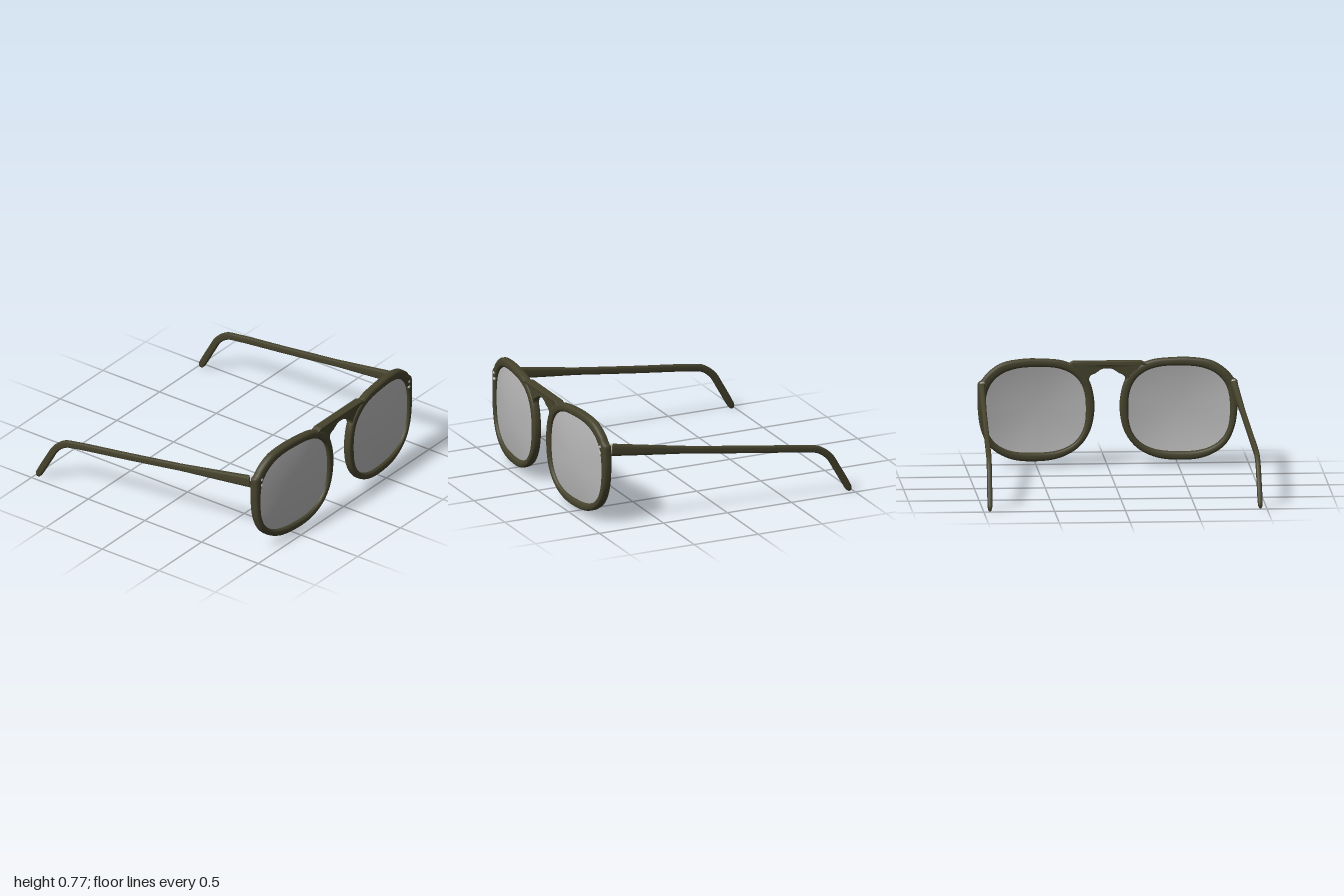
import * as THREE from 'three';

const frameMat = new THREE.MeshStandardMaterial({ color: 0x45422c });
frameMat.name = 'olive frame';
const lensMat = new THREE.MeshStandardMaterial({ color: 0xb6b6b6, side: THREE.DoubleSide });
lensMat.name = 'grey lens';
const metalMat = new THREE.MeshStandardMaterial({ color: 0xd8d8d8 });
metalMat.name = 'silver metal';

// face curve: the front wraps back towards the temples
const faceZ = (x) => 0.957 - 0.08 * x * x;

// point on a unit superellipse, n > 2 gives a rounded square
function squircle(a, n) {
  const c = Math.cos(a), s = Math.sin(a);
  return [Math.sign(c) * Math.abs(c) ** (2 / n), Math.sign(s) * Math.abs(s) ** (2 / n)];
}

// skin between closed rings; side = -1 mirrors in x
function loft(rings, side, closed) {
  const n = rings[0].length, m = rings.length, pos = [], idx = [];
  rings.forEach((r) => r.forEach((p) => pos.push(p[0] * side, p[1], p[2])));
  for (let i = 0; i < (closed ? m : m - 1); i++) {
    for (let j = 0; j < n; j++) {
      const i2 = (i + 1) % m, j2 = (j + 1) % n;
      const a = i * n + j, b = i2 * n + j, c = i2 * n + j2, d = i * n + j2;
      if (side > 0) idx.push(a, b, c, a, c, d);
      else idx.push(a, c, b, a, d, c);
    }
  }
  const g = new THREE.BufferGeometry();
  g.setAttribute('position', new THREE.Float32BufferAttribute(pos, 3));
  g.setIndex(idx);
  g.computeVertexNormals();
  return g;
}

// lens opening, as a point in the given direction from its centre
const CX = 0.507, CY = 0.414, RX = 0.357, RY = 0.307, N = 2.7;
function opening(a) {
  const c = Math.cos(a), s = Math.sin(a);
  const r = (Math.abs(c / RX) ** N + Math.abs(s / RY) ** N) ** (-1 / N);
  return [CX + r * c, CY + r * s];
}

function rimGeometry(side) {
  const outline = [
    [0.59, 0.78], [0.46, 0.778], [0.32, 0.763], [0.23, 0.727], [0.16, 0.67], [0.12, 0.605],
    [0.092, 0.49], [0.09, 0.39], [0.12, 0.257], [0.2, 0.142], [0.33, 0.07], [0.5, 0.047],
    [0.69, 0.07], [0.83, 0.157], [0.895, 0.283], [0.918, 0.44], [0.918, 0.56], [0.915, 0.618],
    [0.89, 0.637], [0.853, 0.683], [0.75, 0.753],
  ].map(([x, y]) => new THREE.Vector3(x, y, 0));
  const curve = new THREE.CatmullRomCurve3(outline, true);
  const rings = [];
  for (let i = 0; i < 120; i++) {
    const o = curve.getPoint(i / 120);
    const [ix, iy] = opening(Math.atan2(o.y - CY, o.x - CX));
    const ring = [];
    for (let j = 0; j < 20; j++) {
      const [u, v] = squircle((j / 20) * Math.PI * 2, 2.8);
      const t = (u + 1) / 2;
      const x = ix + (o.x - ix) * t, y = iy + (o.y - iy) * t;
      ring.push([x, y, faceZ(x) + 0.032 * v]);
    }
    rings.push(ring);
  }
  return loft(rings, side, true);
}

function lensGeometry(side) {
  const rings = [];
  for (let i = 0; i <= 10; i++) {
    const r = (i / 10) * 1.02, ring = [];
    for (let j = 0; j < 72; j++) {
      const [ox, oy] = opening((j / 72) * Math.PI * 2);
      const x = CX + (ox - CX) * r, y = CY + (oy - CY) * r;
      ring.push([x, y, faceZ(x) + 0.01 + 0.026 * (1 - r * r)]);
    }
    rings.push(ring);
  }
  return loft(rings, side, false);
}

function templeGeometry(side) {
  const path = new THREE.CatmullRomCurve3([
    [0.858, 0.581], [0.58, 0.541], [0.3, 0.502], [-0.2, 0.432], [-0.64, 0.373],
    [-0.74, 0.352], [-0.82, 0.292], [-0.88, 0.195], [-0.982, 0.014],
  ].map(([z, y]) => new THREE.Vector3(0.892 + (0.858 - z) * 0.034, y, z)));
  const rings = [], M = 60;
  const addRing = (t, scale) => {
    const p = path.getPoint(t), d = path.getTangent(t);
    const len = Math.hypot(d.y, d.z), ny = -d.z / len, nz = d.y / len;
    const k = Math.min(1, (0.858 - p.z) / 0.6);
    const w = (0.024 - 0.006 * k) * scale, h = (0.044 - 0.018 * k) * scale;
    const ring = [];
    for (let j = 0; j < 20; j++) {
      const [u, v] = squircle((j / 20) * Math.PI * 2, 3.2);
      ring.push([p.x + u * w, p.y + v * h * ny, p.z + v * h * nz]);
    }
    rings.push(ring);
  };
  // flat end at the hinge, rounded tip at the ear
  addRing(0, 0);
  addRing(0, 0.95);
  addRing(0.002, 1);
  for (let i = 1; i < M - 1; i++) addRing((i / M) * 0.985, 1);
  [[0.98, 0.92], [0.99, 0.75], [0.997, 0.45], [1, 0]].forEach(([t, s]) => addRing(t, s));
  return loft(rings, side, false);
}

// extruded bridge piece, centred on the face curve plus an offset
function bridgeGeometry(shape, depth, offset) {
  const b = 0.006;
  const g = new THREE.ExtrudeGeometry(shape, {
    depth: depth - 2 * b, bevelThickness: b, bevelSize: b, bevelOffset: -b, bevelSegments: 3, curveSegments: 16,
  });
  const p = g.attributes.position;
  for (let i = 0; i < p.count; i++) {
    p.setZ(i, p.getZ(i) - depth / 2 + b + faceZ(p.getX(i)) + offset);
  }
  g.computeVertexNormals();
  return g;
}

export function createModel() {
  const model = new THREE.Group();
  model.name = 'eyeglasses';
  const add = (name, geo, mat, x = 0, y = 0, z = 0) => {
    const mesh = new THREE.Mesh(geo, mat);
    mesh.name = name;
    mesh.position.set(x, y, z);
    model.add(mesh);
    return mesh;
  };

  for (const side of [1, -1]) {
    const label = side > 0 ? 'left' : 'right';
    add(label + 'Rim', rimGeometry(side), frameMat);
    add(label + 'Lens', lensGeometry(side), lensMat);
    add(label + 'Temple', templeGeometry(side), frameMat);
    // hinge barrel between rim and temple
    add(label + 'Hinge', new THREE.CylinderGeometry(0.016, 0.016, 0.07, 20), metalMat, side * 0.888, 0.59, 0.856);
    // pair of rivets on the front
    for (const y of [0.605, 0.56]) {
      const rivet = add(label + 'Rivet', new THREE.CylinderGeometry(0.01, 0.01, 0.03, 16), metalMat, side * 0.862, y, 0.916);
      rivet.rotation.x = Math.PI / 2;
    }
  }

  // straight brow bar
  const bar = new THREE.Shape();
  bar.moveTo(-0.29, 0.728);
  bar.lineTo(0.29, 0.728);
  bar.lineTo(0.24, 0.755);
  bar.lineTo(-0.24, 0.755);
  add('browBar', bridgeGeometry(bar, 0.064, 0), frameMat);

  // nose bridge with a keyhole arch below
  const arch = new THREE.Shape();
  arch.moveTo(-0.25, 0.736);
  arch.lineTo(-0.17, 0.65);
  arch.lineTo(-0.128, 0.62);
  arch.quadraticCurveTo(-0.13, 0.652, -0.1, 0.664);
  arch.bezierCurveTo(-0.06, 0.675, -0.06, 0.705, 0, 0.705);
  arch.bezierCurveTo(0.06, 0.705, 0.06, 0.675, 0.1, 0.664);
  arch.quadraticCurveTo(0.13, 0.652, 0.128, 0.62);
  arch.lineTo(0.17, 0.65);
  arch.lineTo(0.25, 0.736);
  add('noseBridge', bridgeGeometry(arch, 0.05, -0.004), frameMat);

  return model;
}
